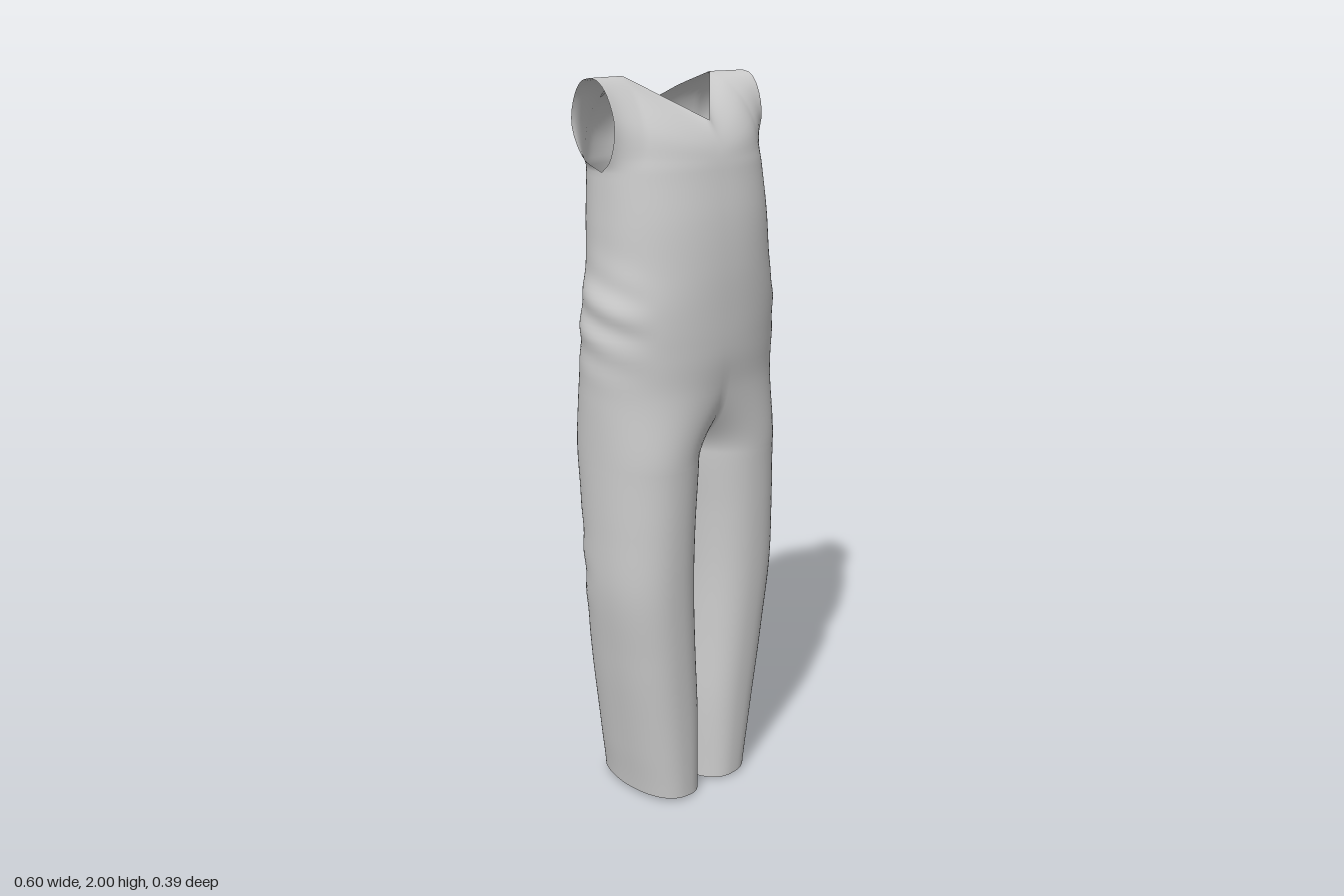
import * as THREE from 'three';
import { mergeVertices } from 'three/addons/utils/BufferGeometryUtils.js';

const COLS = 64;        // columns around one half of the garment
const CROTCH = 1.0, HIP = 1.34, UNDERARM = 1.77;
const { lerp, smoothstep, clamp } = THREE.MathUtils;
const V = (x, y, z) => new THREE.Vector3(x, y, z);
const gauss = (d, w) => Math.exp(-(d * d) / (w * w));

// height, half width, inner leg x, front z, back z, roundness (1 = ellipse, less = squarer)
const profile = [
  [0.00, 0.195, 0.001, 0.140, -0.170, 0.80],
  [0.25, 0.228, 0.002, 0.148, -0.165, 0.82],
  [0.45, 0.257, 0.014, 0.155, -0.160, 0.85],
  [0.65, 0.284, 0.022, 0.162, -0.150, 0.88],
  [0.82, 0.289, 0.016, 0.167, -0.160, 0.92],
  [1.00, 0.292, 0.000, 0.172, -0.180, 0.95],
  [1.20, 0.296, 0.000, 0.181, -0.194, 0.95],
  [1.30, 0.297, 0.000, 0.194, -0.194, 0.94],
  [1.42, 0.290, 0.000, 0.198, -0.191, 0.92],
  [1.53, 0.268, 0.000, 0.197, -0.190, 0.90],
  [1.65, 0.260, 0.000, 0.187, -0.190, 0.88],
  [1.77, 0.255, 0.000, 0.165, -0.183, 0.88],
];
const sampler = new THREE.CubicInterpolant(
  Float32Array.from(profile, (r) => r[0]),
  Float32Array.from(profile.flatMap((r) => r.slice(1))), 5);

// Point on the left half: above the crotch the leg tube widens past the
// centre plane and is cut there, until it is half of the torso
function section(y, u) {
  const [w, gap, zf, zb, round] = sampler.evaluate(y);
  const soft = (c) => Math.sign(c) * Math.abs(c) ** round;
  const inner = y > CROTCH ? -w * smoothstep(y, CROTCH, HIP) : gap;
  const cx = (w + inner) / 2, half = (w - inner) / 2;
  const start = y > CROTCH ? Math.acos(clamp(cx / half, 0, 1) ** (1 / round)) : 0;
  const a = lerp(start, Math.PI * 2 - start, u);
  const mid = (zf + zb) / 2, depth = (zf - zb) / 2;
  const p = V(cx - half * soft(Math.cos(a)), y, mid + depth * soft(Math.sin(a)));
  if ((u === 0 || u === 1) && y >= CROTCH - 1e-6) p.x = 0;

  // Groove down the spine
  if (p.z < mid) p.z += 0.014 * gauss(p.x, 0.055) * smoothstep(y, 1.2, 1.45) * smoothstep(mid - p.z, 0.05, 0.15);
  // Gathered cloth at the hip pockets
  p.x += 0.005 * Math.sin(y * 62 + p.z * 18) * gauss(y - 1.4, 0.11) * smoothstep(p.x, 0.2, 0.28);
  // Folds behind the knees
  if (p.z < mid) {
    p.z += 0.004 * Math.sin(y * 48 - p.x * 22) * gauss(y - 0.7, 0.14)
      * smoothstep(p.x, 0.03, 0.1) * smoothstep(mid - p.z, 0.02, 0.1);
  }
  // Hem rising to the outside and the back
  p.y += (0.014 * p.x / 0.2 + 0.012 * smoothstep(-p.z, 0, 0.15)) * (1 - smoothstep(y, 0, 0.15));
  // Trouser ends drifting slightly to the right
  p.x -= 0.007 * (1 - smoothstep(y, 0, 0.4)) * smoothstep(p.x, 0.02, 0.15);
  return p;
}

// Surface patch blended from its four edge curves
const patch = (bottom, top, left, right) => (u, v) => {
  const p = bottom(u).multiplyScalar(1 - v).addScaledVector(top(u), v)
    .addScaledVector(left(v), 1 - u).addScaledVector(right(v), u);
  return p.addScaledVector(bottom(0), -(1 - u) * (1 - v)).addScaledVector(bottom(1), -u * (1 - v))
    .addScaledVector(top(0), -(1 - u) * v).addScaledVector(top(1), -u * v);
};
const curve = (...pts) => {
  const c = new THREE.CatmullRomCurve3(pts);
  return (t) => c.getPoint(t);
};

// Upper bodice panel running from the centre line to the armhole
function bodicePanel(front) {
  const column = (u) => (front ? u / 2 : 1 - u / 2);
  const bottom = (u) => section(UNDERARM, column(u));
  const centre = bottom(0), side = bottom(1);
  const neck = V(0.155, 1.998, -0.04), shoulder = V(0.272, 1.998, -0.03);
  const low = front ? V(0, 1.89, 0.115) : V(0, 1.92, -0.155);
  const neckline = front
    ? curve(low, low.clone().lerp(neck, 0.5), neck)
    : curve(low, V(0.06, 1.93, -0.15), V(0.115, 1.962, -0.115), neck);
  const top = (u) => (u < 0.6 ? neckline(u / 0.6) : neck.clone().lerp(shoulder, (u - 0.6) / 0.4));
  const left = front
    ? curve(centre, V(0, 1.835, 0.143), low)
    : curve(centre, V(0, 1.85, -0.165), low);
  const right = front
    ? curve(side, V(0.258, 1.8, 0.025), V(0.263, 1.88, 0.05), V(0.268, 1.955, 0.03), V(0.271, 1.99, 0), shoulder)
    : curve(side, V(0.258, 1.8, -0.075), V(0.265, 1.88, -0.11), V(0.268, 1.955, -0.093), V(0.271, 1.99, -0.062), shoulder);
  const base = patch(bottom, top, left, right);

  // Leave the torso along its own slope, fading out at the armhole
  return (u, v) => {
    const p = base(u, v), rise = base(u, 0.02).sub(base(u, 0)).multiplyScalar(50);
    const slope = bottom(u).sub(section(UNDERARM - 0.02, column(u)));
    slope.multiplyScalar(rise.y / slope.y).sub(rise);
    return p.addScaledVector(slope, v * (1 - v) ** 2 * (1 - u ** 4));
  };
}

export function createModel() {
  const positions = [], indices = [];

  // Adds a grid of points and its mirror image
  function addGrid(fn, rows, cols, flip) {
    for (const side of [1, -1]) {
      const base = positions.length / 3;
      for (let i = 0; i <= rows; i++) {
        for (let j = 0; j <= cols; j++) {
          const p = fn(i, j);
          positions.push(Math.abs(p.x) < 1e-6 ? 0 : p.x * side, p.y, p.z);
        }
      }
      for (let i = 0; i < rows; i++) {
        for (let j = 0; j < cols; j++) {
          const a = base + i * (cols + 1) + j, b = a + 1, c = a + cols + 1, d = c + 1;
          if ((side > 0) !== flip) indices.push(a, b, d, a, d, c);
          else indices.push(a, d, b, a, c, d);
        }
      }
    }
  }

  // Trouser legs, hips and torso, with rows packed towards the crotch
  const heights = [];
  for (let i = 0; i < 50; i++) heights.push(CROTCH * i / 50);
  for (let i = 0; i < 24; i++) heights.push(CROTCH + (HIP - CROTCH) * (i / 24) ** 1.4);
  for (let i = 0; i <= 30; i++) heights.push(lerp(HIP, UNDERARM, i / 30));
  addGrid((i, j) => section(heights[i], j / COLS), heights.length - 1, COLS, false);

  // Front and back bodice above the underarm
  for (const front of [true, false]) {
    const panel = bodicePanel(front);
    addGrid((i, j) => panel(j / (COLS / 2), i / 18), 18, COLS / 2, !front);
  }

  let geometry = new THREE.BufferGeometry();
  geometry.setAttribute('position', new THREE.Float32BufferAttribute(positions, 3));
  geometry.setIndex(indices);
  geometry = mergeVertices(geometry, 1e-4);
  geometry.computeVertexNormals();

  const jumpsuit = new THREE.Mesh(geometry,
    new THREE.MeshStandardMaterial({ color: 0xcccccc, side: THREE.DoubleSide }));
  jumpsuit.name = 'sleevelessJumpsuit';
  const group = new THREE.Group();
  group.name = 'jumpsuit';
  group.add(jumpsuit);
  return group;
}
